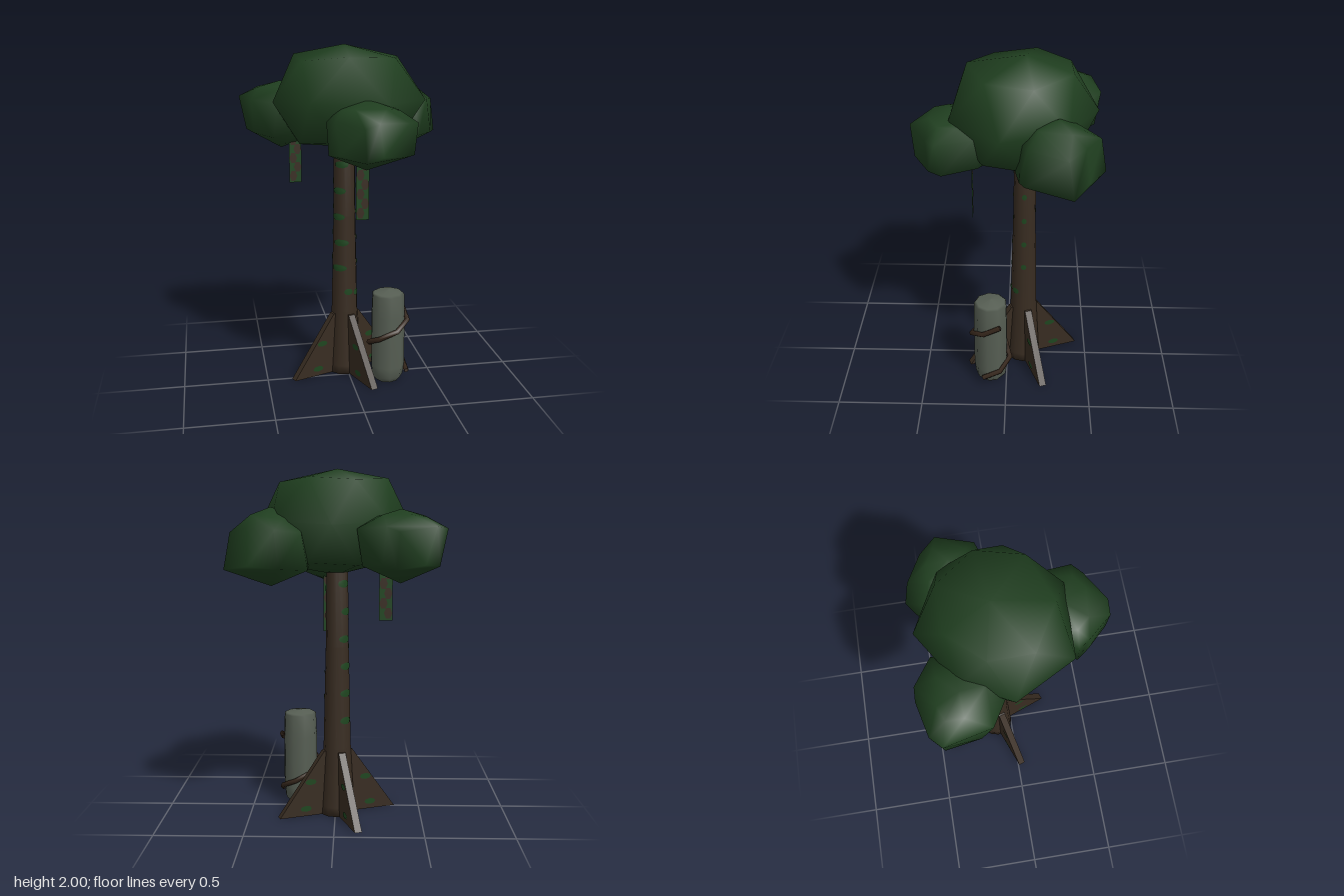
import * as THREE from 'three';
import { mergeVertices } from 'three/addons/utils/BufferGeometryUtils.js';
import { ConvexGeometry } from 'three/addons/geometries/ConvexGeometry.js';

function material(name, color, side = THREE.FrontSide) {
  const m = new THREE.MeshStandardMaterial({ color, side });
  m.name = name;
  return m;
}

const TRUNK = [[0.105, 0], [0.1, 0.05], [0.08, 0.4], [0.066, 1.0], [0.06, 1.6]];

// trunk radius at a given height
function trunkRadius(y) {
  for (let i = 1; i < TRUNK.length; i++) {
    const [r0, y0] = TRUNK[i - 1], [r1, y1] = TRUNK[i];
    if (y <= y1) return r0 + (r1 - r0) * (y - y0) / (y1 - y0);
  }
  return 0.06;
}

// Faceted, smooth-shaded foliage: a ground outline repeated at several heights.
// Each ring is [height, scale, shift toward the next outline point].
function foliageGeometry([cx, cz], outline, rings, bottom, top) {
  const points = [new THREE.Vector3(cx, bottom, cz), new THREE.Vector3(cx, top, cz)];
  for (const [y, scale, shift] of rings) {
    outline.forEach(([x, z], i) => {
      const [nx, nz] = outline[(i + 1) % outline.length];
      const px = x + (nx - x) * shift - cx, pz = z + (nz - z) * shift - cz;
      points.push(new THREE.Vector3(cx + px * scale, y + 0.015 * Math.sin(i * 2.4), cz + pz * scale));
    });
  }
  const g = new ConvexGeometry(points);
  g.deleteAttribute('normal');
  const smooth = mergeVertices(g, 1e-4);
  smooth.computeVertexNormals();
  return smooth;
}

export function createModel() {
  const model = new THREE.Group();
  const bark = material('bark', 0x382c21);
  const leaves = material('leaves', 0x1f3e1f);
  const moss = material('moss', 0x1e451f, THREE.DoubleSide);
  const stone = material('stone', 0x565e53);
  const vine = material('vine', 0x35261b, THREE.DoubleSide);

  function add(parent, name, geometry, mat, x = 0, y = 0, z = 0) {
    const mesh = new THREE.Mesh(geometry, mat);
    mesh.name = name;
    mesh.position.set(x, y, z);
    parent.add(mesh);
    return mesh;
  }

  // trunk with moss patches wrapped on its surface
  const tree = new THREE.Group();
  tree.name = 'trunkAndRoots';
  tree.position.set(-0.01, 0, -0.1);
  model.add(tree);
  const profile = [[0, 0], ...TRUNK, [0, 1.6]].map(p => new THREE.Vector2(...p));
  add(tree, 'trunk', new THREE.LatheGeometry(profile, 12), bark);

  function mossPatch(angle, y, halfAngle, halfHeight) {
    const g = new THREE.RingGeometry(0.01, 1, 10, 4);
    const p = g.attributes.position;
    for (let i = 0; i < p.count; i++) {
      const a = angle + p.getX(i) * halfAngle, h = y + p.getY(i) * halfHeight;
      const r = trunkRadius(h) + 0.003;
      p.setXYZ(i, Math.sin(a) * r, h, Math.cos(a) * r);
    }
    g.computeVertexNormals();
    add(tree, 'trunkMoss', g, moss);
  }
  for (let i = 0; i < 5; i++) {
    const y = 0.68 + i * 0.158;
    mossPatch(-0.65 + 0.2 * Math.sin(i * 2), y, 0.7, 0.021);
    mossPatch(-2.3 + 0.3 * Math.sin(i * 3), y + 0.05, 0.6, 0.022);
    mossPatch(1.55, y + 0.02, 0.22, 0.018);
  }
  mossPatch(0.15, 0.53, 0.35, 0.02);
  mossPatch(0.9, 0.52, 0.3, 0.02);
  mossPatch(-2.4, 0.57, 0.5, 0.022);

  // four triangular buttress roots
  const finShape = new THREE.Shape([[0, 0], [0.358, 0], [0.088, 0.38], [0, 0.4]].map(p => new THREE.Vector2(...p)));
  const finDepth = 0.042;
  for (let k = 0; k < 4; k++) {
    const root = new THREE.Group();
    root.name = 'buttressRoot';
    root.rotation.y = 0.36 + k * Math.PI / 2;
    tree.add(root);
    add(root, 'rootFin', new THREE.ExtrudeGeometry(finShape, { depth: finDepth, bevelEnabled: false }),
      bark, 0, 0, -finDepth / 2);
    for (const [x, y] of [[0.17, 0.205], [0.2, 0.045]]) {
      for (const side of [-1, 1]) {
        const patch = add(root, 'rootMoss', new THREE.CircleGeometry(1, 8), moss,
          x, y, side * (finDepth / 2 + 0.003));
        patch.scale.set(0.035, 0.018, 1);
      }
    }
  }

  // main crown
  add(model, 'mainCrown', foliageGeometry([-0.01, -0.1],
    [[0.01, -0.5], [-0.3, -0.31], [-0.43, -0.04], [-0.26, 0.29], [0.17, 0.31], [0.44, 0.03], [0.34, -0.33]],
    [[1.935, 0.8, 0.5], [1.7, 1, 0], [1.48, 0.85, 0.5]], 1.41, 2.0), leaves);

  // three smaller crowns: name, centre, bottom, top, rings, outline
  const clumps = [
    ['frontCrown', [0.05, 0.27], 1.34, 1.73,
      [[1.68, 0.7, 0.5], [1.62, 1, 0], [1.44, 0.98, 0.15]],
      [[-0.18, 0.33], [-0.14, 0.39], [-0.01, 0.53], [0.07, 0.53], [0.25, 0.43],
        [0.31, 0.38], [0.28, 0.17], [0.1, 0.05], [-0.1, 0.12]]],
    ['rightCrown', [-0.36, -0.31], 1.38, 1.78,
      [[1.74, 0.6, 0.5], [1.68, 1, 0], [1.48, 0.88, 0.2]],
      [[-0.6, -0.43], [-0.54, -0.49], [-0.34, -0.535], [-0.27, -0.53], [-0.12, -0.43],
        [-0.13, -0.2], [-0.25, -0.08], [-0.4, -0.09], [-0.54, -0.17]]],
    ['leftCrown', [0.35, -0.27], 1.36, 1.79,
      [[1.74, 0.55, 0.5], [1.67, 0.9, 0.1], [1.47, 1, 0]],
      [[0.29, -0.53], [0.46, -0.435], [0.6, -0.35], [0.51, -0.1], [0.43, -0.07],
        [0.25, -0.04], [0.14, -0.2], [0.14, -0.42]]],
  ];
  for (const [name, centre, bottom, top, rings, outline] of clumps) {
    add(model, name, foliageGeometry(centre, outline, rings, bottom, top), leaves);
  }

  // flat hanging strips, mottled with bark colour on both faces
  for (const [x, bottom, z] of [[0.043, 1.04, 0.2], [-0.282, 1.17, -0.26]]) {
    const strip = new THREE.Group();
    strip.name = 'hangingStrip';
    strip.position.set(x, bottom, z);
    model.add(strip);
    const length = 1.5 - bottom;
    add(strip, 'stripLeaf', new THREE.PlaneGeometry(0.074, length), moss, 0, length / 2, 0);
    for (let i = 0; i < 6; i++) {
      for (const side of [-1, 1]) {
        const spot = add(strip, 'stripBark', new THREE.CircleGeometry(0.023, 6), bark,
          i % 2 ? 0.013 : -0.013, 0.04 + i * 0.055, side * 0.003);
        spot.scale.y = 1.5;
        if (side < 0) spot.rotation.y = Math.PI;
      }
    }
  }

  // standing stone with rounded ends
  const stoneProfile = [[0, 0], [0.07, 0.003], [0.095, 0.035], [0.102, 0.1], [0.102, 0.42], [0.097, 0.55], [0.085, 0.56], [0, 0.575]];
  add(model, 'standingStone', new THREE.LatheGeometry(stoneProfile.map(p => new THREE.Vector2(...p)), 9),
    stone, 0.22, 0, 0.095);

  // angular vine winding down around the stone
  const path = [];
  for (let i = 0; i <= 7; i++) {
    const a = THREE.MathUtils.degToRad(-30 + i * 59);
    path.push(new THREE.Vector3(0.22 + Math.cos(a) * 0.12, 0.44 - i * 0.054, 0.095 + Math.sin(a) * 0.12));
  }
  add(model, 'windingVine', new THREE.TubeGeometry(new THREE.CatmullRomCurve3(path), 8, 0.016, 5), vine);

  return model;
}
